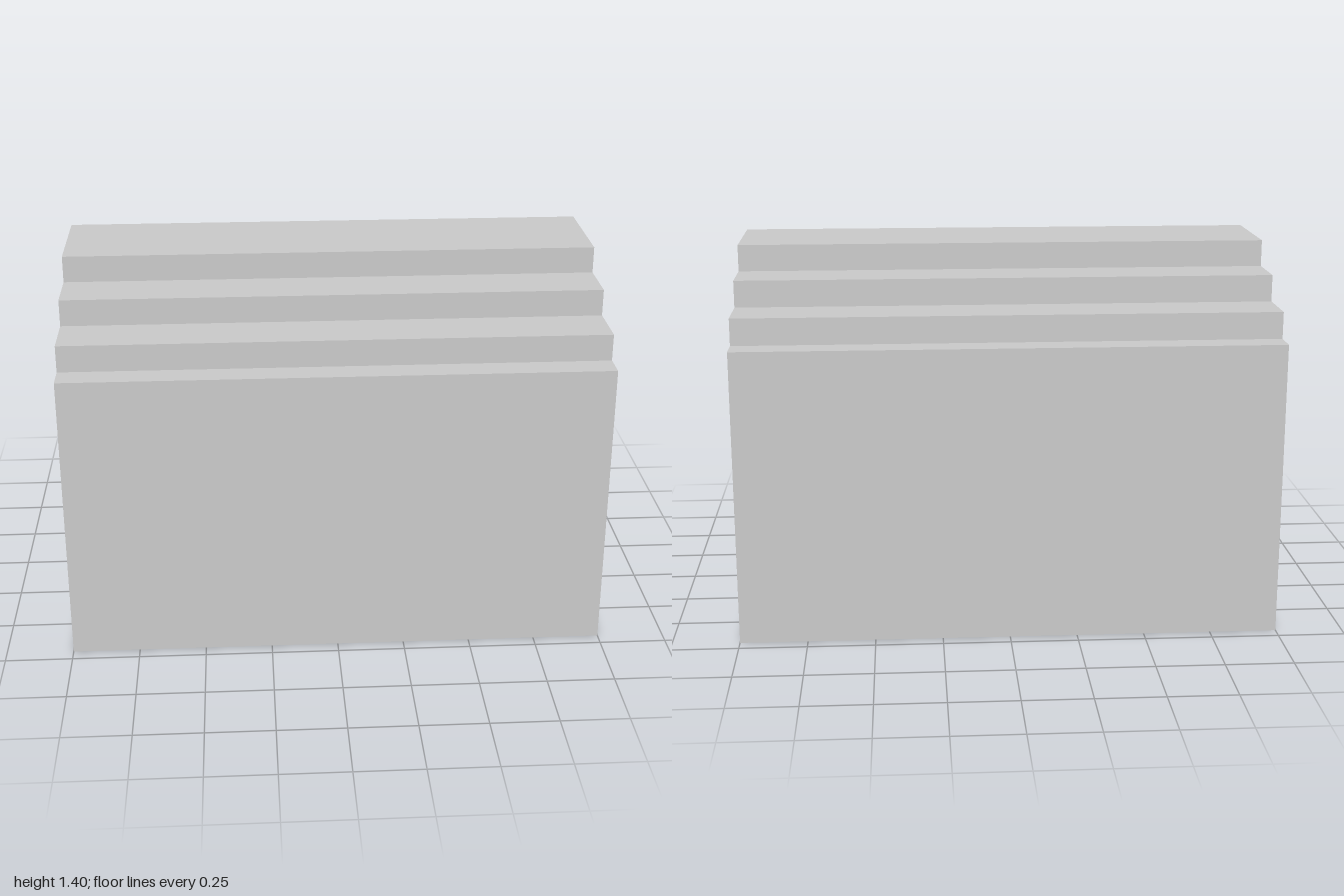
import * as THREE from 'three';

export function createModel() {
  const group = new THREE.Group();
  group.name = 'steppedBlock';
  const length = 2;

  // Half of the stepped end profile: [half depth, top height], lowest step first
  const steps = [[0.7, 1.1], [0.6, 1.2], [0.4, 1.3], [0.2, 1.4]];

  // Climb one side of the profile, then mirror it down the other
  const side = [[0.7, 0]];
  steps.forEach(([half, top], i) => {
    side.push([half, top]);
    if (i < steps.length - 1) side.push([steps[i + 1][0], top]);
  });
  const mirrored = side.map(([z, y]) => [-z, y]).reverse();
  const outline = [...side, ...mirrored].map(([z, y]) => new THREE.Vector2(z, y));

  // Body with stepped roof, extruded along x
  const geometry = new THREE.ExtrudeGeometry(new THREE.Shape(outline), {
    depth: length,
    bevelEnabled: false,
  });
  geometry.translate(0, 0, -length / 2);
  geometry.rotateY(Math.PI / 2);

  const body = new THREE.Mesh(
    geometry,
    new THREE.MeshStandardMaterial({ color: 0xcccccc, flatShading: true })
  );
  body.name = 'bodyWithSteppedRoof';
  group.add(body);
  return group;
}
